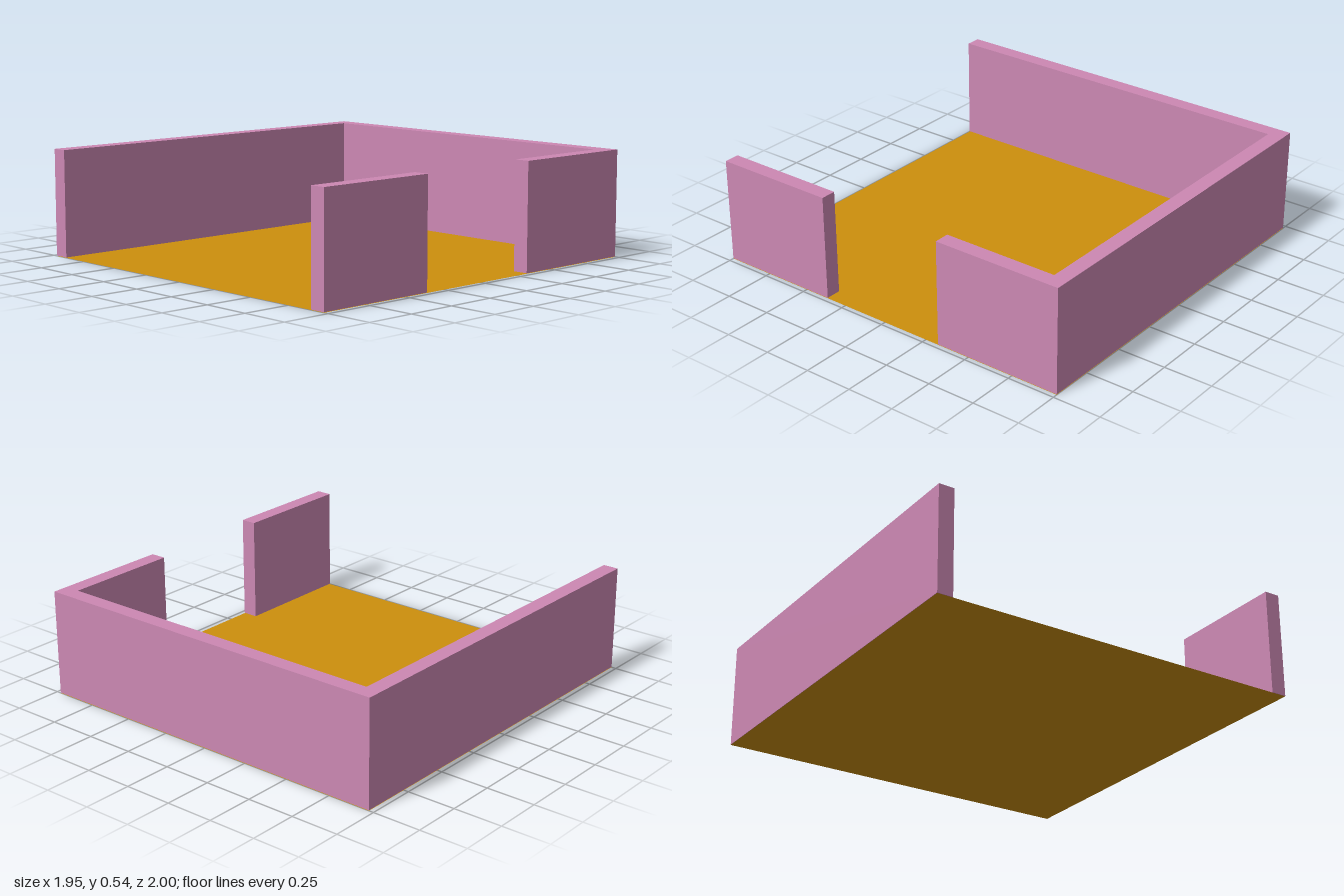
import * as THREE from 'three';

const X = 0.975, Z = 1, HEIGHT = 0.54, THICK = 0.08;
const DOOR_BACK = -0.323, DOOR_FRONT = 0.363;
const LIFT = 0.002; // walls rest just on top of the floor sheet

// Raises a wall from its plan outline, given as [x, z] points
function wall(name, plan, material) {
  const shape = new THREE.Shape(plan.map(([x, z]) => new THREE.Vector2(x, -z)));
  const geometry = new THREE.ExtrudeGeometry(shape, { depth: HEIGHT - LIFT, bevelEnabled: false });
  geometry.rotateX(-Math.PI / 2).translate(0, LIFT, 0);
  const mesh = new THREE.Mesh(geometry, material);
  mesh.name = name;
  return mesh;
}

export function createModel() {
  const group = new THREE.Group();
  group.name = 'openRoom';
  const pink = new THREE.MeshStandardMaterial({ color: 0xcc88b3 });
  const ochre = new THREE.MeshStandardMaterial({ color: 0xcc8f0d, side: THREE.DoubleSide });

  // Thin floor sheet under the whole room
  const floor = new THREE.Mesh(new THREE.PlaneGeometry(2 * X, 2 * Z).rotateX(-Math.PI / 2), ochre);
  floor.name = 'floor';
  group.add(floor);

  // Right, back and left walls in one piece, ending at the doorway
  const inner = X - THICK;
  group.add(wall('mainWalls', [
    [-X, Z], [-inner, Z], [-inner, -Z + THICK], [inner, -Z + THICK],
    [inner, DOOR_BACK], [X, DOOR_BACK], [X, -Z], [-X, -Z],
  ], pink));

  // Short wall in front of the doorway
  group.add(wall('doorwaySideWall', [
    [inner, Z], [X, Z], [X, DOOR_FRONT], [inner, DOOR_FRONT],
  ], pink));

  return group;
}
